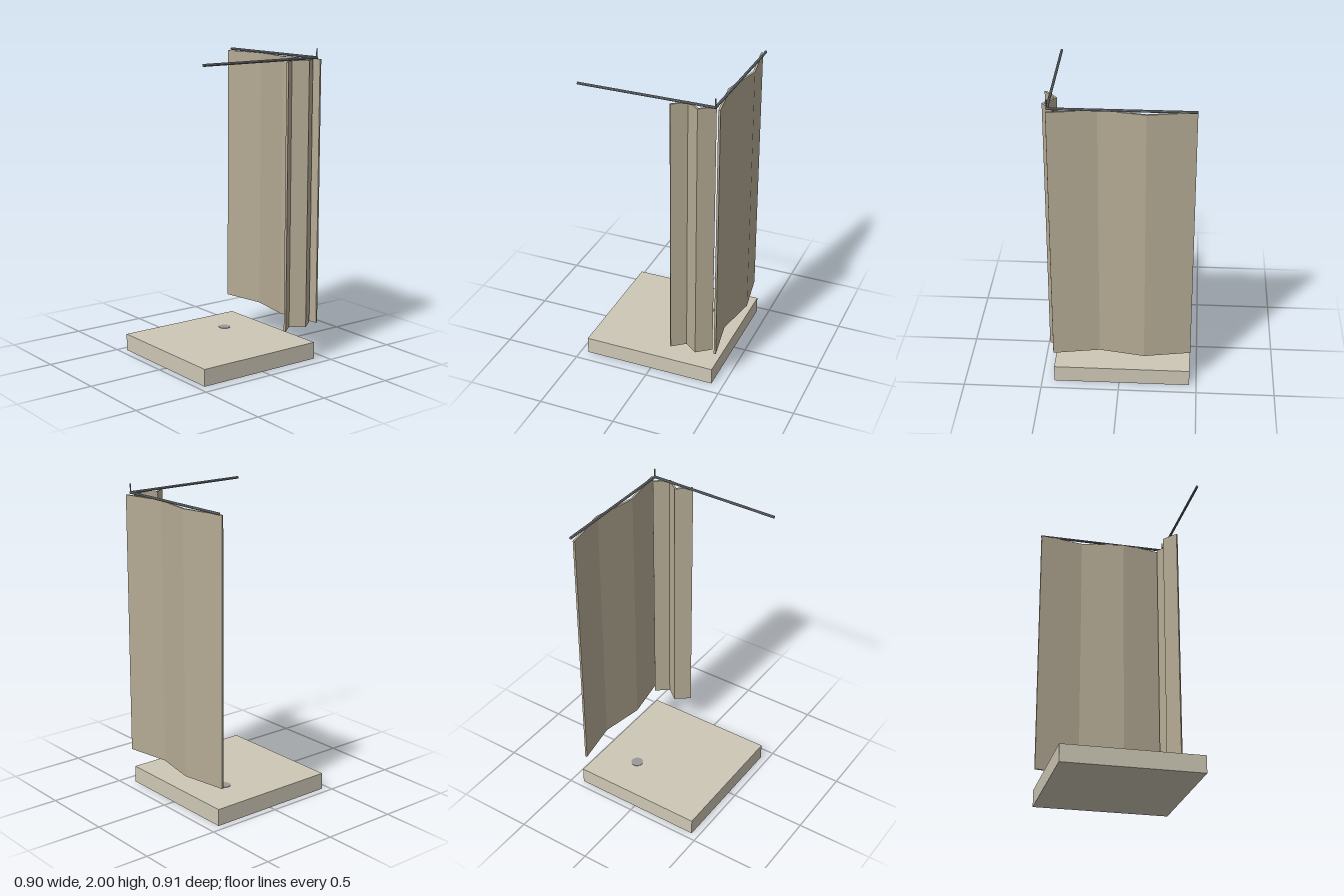
import * as THREE from 'three';

const mat = (color) => new THREE.MeshStandardMaterial({ color, flatShading: true });

// Outline of a folded strip of even thickness around a zigzag centre line
function foldedShape(pts, thickness) {
  const p = pts.map(([x, z]) => new THREE.Vector2(x, z));
  const normal = (a, b) => new THREE.Vector2(a.y - b.y, b.x - a.x).normalize();
  const left = [], right = [];
  p.forEach((q, i) => {
    const n0 = normal(p[Math.max(i - 1, 0)], p[Math.max(i, 1)]);
    const n1 = normal(p[Math.min(i, p.length - 2)], p[Math.min(i + 1, p.length - 1)]);
    const m = n0.clone().add(n1).normalize();
    m.multiplyScalar(thickness / 2 / m.dot(n1));
    left.push(q.clone().add(m));
    right.unshift(q.clone().sub(m));
  });
  return new THREE.Shape([...left, ...right]);
}

export function createModel() {
  const group = new THREE.Group();
  const trayMat = mat(0xcdc7b5);
  const curtainMat = mat(0xb5ab94);
  const metalMat = mat(0x80858a);
  const drainMat = mat(0x9a9a98);

  const add = (name, geometry, material, x = 0, y = 0, z = 0) => {
    const mesh = new THREE.Mesh(geometry, material);
    mesh.name = name;
    mesh.position.set(x, y, z);
    group.add(mesh);
    return mesh;
  };

  // Shower tray and drain
  add('tray', new THREE.BoxGeometry(0.875, 0.11, 0.875), trayMat, -0.014, 0.055, -0.0175);
  add('drain', new THREE.CylinderGeometry(0.04, 0.04, 0.004, 16), drainMat, 0.162, 0.111, -0.194);

  // Folded curtains, extruded downwards from the rail
  const top = 1.935, bottom = 0.24;
  const curtains = {
    sideCurtain: [[0.391, -0.455], [0.442, -0.162], [0.391, 0.125], [0.442, 0.419]],
    frontCurtain: [[0.152, 0.448], [0.238, 0.38], [0.322, 0.444], [0.408, 0.377]],
  };
  for (const [name, pts] of Object.entries(curtains)) {
    const geo = new THREE.ExtrudeGeometry(foldedShape(pts, 0.013), { depth: top - bottom, bevelEnabled: false });
    geo.rotateX(Math.PI / 2);
    add(name, geo, curtainMat, 0, top, 0);
  }

  // Corner rail and its ceiling hanger
  const rail = () => new THREE.CylinderGeometry(0.0085, 0.0085, 0.87, 8);
  add('frontRail', rail(), metalMat, -0.016, 1.945, 0.413).rotation.z = Math.PI / 2;
  add('sideRail', rail(), metalMat, 0.416, 1.945, -0.02).rotation.x = Math.PI / 2;
  add('ceilingHanger', new THREE.CylinderGeometry(0.0045, 0.0045, 0.055, 8), metalMat, 0.416, 1.9725, 0.413);

  return group;
}
